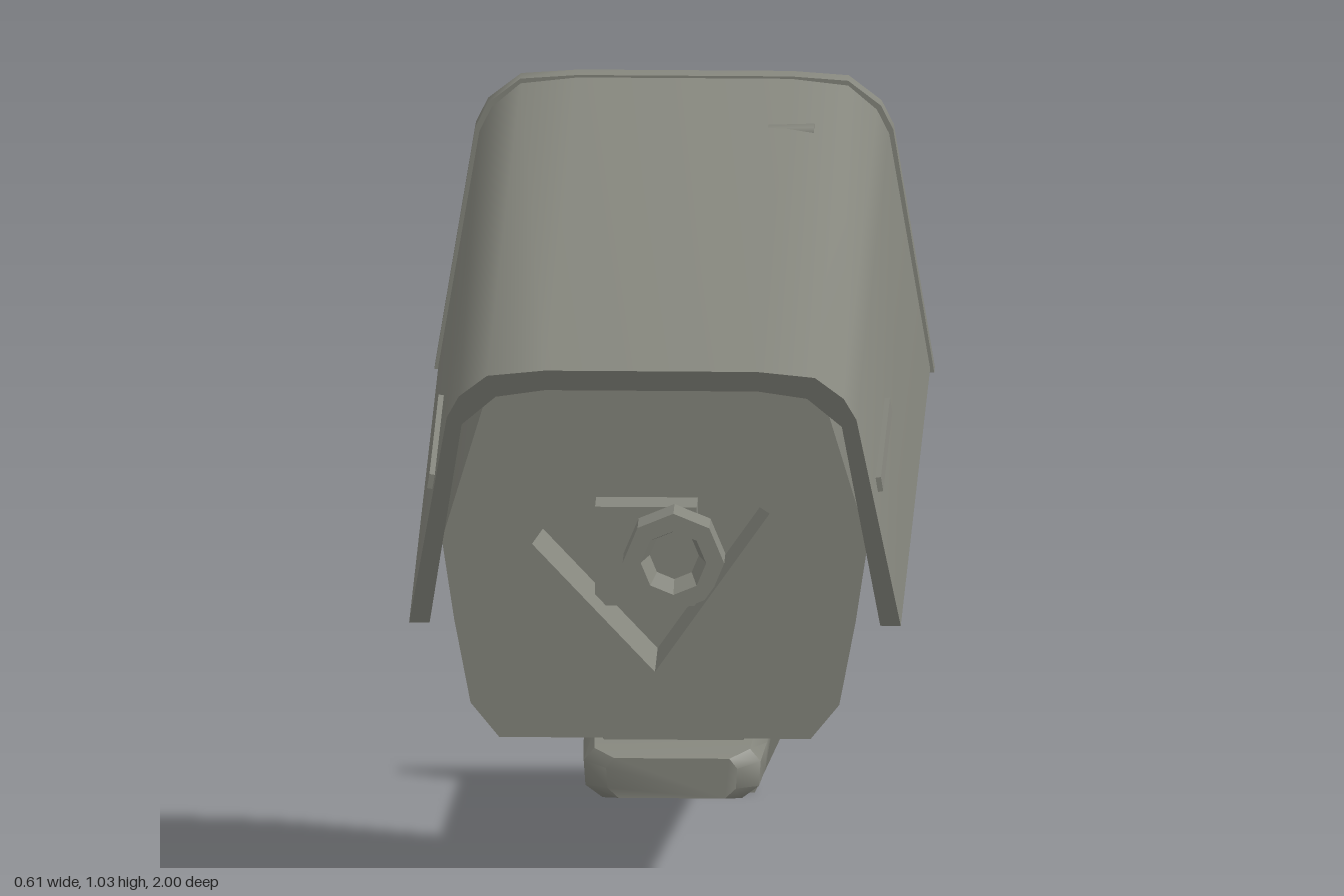
import * as THREE from 'three';
import { toCreasedNormals } from 'three/addons/utils/BufferGeometryUtils.js';

// Mirrors a right-hand outline (bottom to top) into a closed counter-clockwise ring
const mirror = (half) => [...half, ...half.slice().reverse().map(([x, y]) => [-x, y])];

// Joins rings [{ z, pts }] listed from front to back, with optional end caps
function loft(rings, capFront = true, capBack = true, crease = 0.75) {
  const pos = [], index = [], n = rings[0].pts.length;
  rings.forEach(({ z, pts }) => pts.forEach(([x, y]) => pos.push(x, y, z)));
  for (let r = 0; r < rings.length - 1; r++) {
    for (let i = 0; i < n; i++) {
      const j = (i + 1) % n, a = r * n, b = a + n;
      index.push(a + i, b + i, a + j, a + j, b + i, b + j);
    }
  }
  const last = (rings.length - 1) * n;
  for (let i = 1; i < n - 1; i++) {
    if (capFront) index.push(0, i, i + 1);
    if (capBack) index.push(last, last + i + 1, last + i);
  }
  const g = new THREE.BufferGeometry();
  g.setAttribute('position', new THREE.Float32BufferAttribute(pos, 3));
  g.setIndex(index);
  return toCreasedNormals(g, crease);
}

const shapeOf = (pts) => new THREE.Shape(pts.map(([x, y]) => new THREE.Vector2(x, y)));
const extrude = (shape, depth) =>
  new THREE.ExtrudeGeometry(shape, { depth, bevelEnabled: false });

export function createModel() {
  const model = new THREE.Group();
  model.name = 'securityCamera';
  const grey = new THREE.MeshStandardMaterial({ color: 0x86877e, side: THREE.DoubleSide });
  grey.name = 'warm grey';
  const add = (name, geometry, x = 0, y = 0, z = 0) => {
    const mesh = new THREE.Mesh(geometry, grey);
    mesh.name = name;
    mesh.position.set(x, y, z);
    model.add(mesh);
    return mesh;
  };

  // Sun hood: thin inverted-U shell with a raked front edge
  const outer = [[0.3, 0.665], [0.25, 0.96], [0.235, 0.99], [0.2, 1.02], [0.13, 1.028]];
  const inner = [[0.275, 0.665], [0.232, 0.95], [0.19, 0.99], [0.13, 1.0]];
  const flip = (pts) => pts.slice().reverse().map(([x, y]) => [-x, y]);
  const hood = extrude(shapeOf([...outer, ...flip(outer), ...flip(inner).reverse(),
    ...inner.slice().reverse()]), 1.5);
  const hp = hood.attributes.position;
  for (let i = 0; i < hp.count; i++) {
    const front = hp.getZ(i) > 1;
    hp.setZ(i, front ? 0.82 + (hp.getY(i) - 0.665) * 0.496 : -0.49);
  }
  add('hood', toCreasedNormals(hood, 0.75));

  // Rear cap closing the hood
  const capRing = mirror([[0.305, 0.66], [0.255, 0.965], [0.24, 0.995], [0.2, 1.026], [0.13, 1.031]]);
  add('rearCap', loft([{ z: -0.475, pts: capRing }, { z: -0.503, pts: capRing }]));

  // Housing, with a ramped underside at the rear
  const bodyHalf = [[0.19, 0.522], [0.225, 0.565], [0.245, 0.67], [0.26, 0.77], [0.2, 0.97]];
  const bodyRing = mirror(bodyHalf);
  const rearRing = (a, b, w) =>
    mirror([[w, a], [w + 0.03, b], [0.25, 0.672], [0.26, 0.77], [0.2, 0.97]]);
  add('housing', loft([
    { z: 0.82, pts: bodyRing },
    { z: -0.21, pts: bodyRing },
    { z: -0.225, pts: rearRing(0.585, 0.61, 0.19) },
    { z: -0.47, pts: rearRing(0.645, 0.655, 0.15) },
  ], false));
  add('rearLip', new THREE.BoxGeometry(0.36, 0.07, 0.022), 0, 0.545, -0.221);

  // Front face with a diamond window recess
  const diamond = [[0.0, 0.605], [0.14, 0.805], [-0.04, 0.925], [-0.15, 0.765]];
  const face = shapeOf(bodyRing);
  face.holes.push(new THREE.Path(diamond.map(([x, y]) => new THREE.Vector2(x, y))));
  add('frontFace', new THREE.ShapeGeometry(face), 0, 0, 0.82);
  const recess = new THREE.Group();
  recess.name = 'windowRecess';
  const wallPos = [];
  diamond.forEach(([x, y], i) => {
    const [u, v] = diamond[(i + 1) % 4];
    wallPos.push(x, y, 0.82, u, v, 0.82, x, y, 0.7, u, v, 0.82, u, v, 0.7, x, y, 0.7);
  });
  const walls = new THREE.BufferGeometry();
  walls.setAttribute('position', new THREE.Float32BufferAttribute(wallPos, 3));
  walls.computeVertexNormals();
  add('windowWalls', walls);
  add('windowBack', new THREE.ShapeGeometry(shapeOf(diamond)), 0, 0, 0.7);

  // Lens block, barrel and glass
  add('lensBlock', new THREE.BoxGeometry(0.124, 0.124, 0.05), -0.013, 0.733, 0.726);
  const barrel = new THREE.LatheGeometry([[0.062, 0], [0.062, 0.05], [0.04, 0.05], [0.03, 0.01], [0, 0.01]]
    .map(([r, y]) => new THREE.Vector2(r, y)), 8).rotateX(Math.PI / 2);
  add('lensBarrel', toCreasedNormals(barrel, 0.6), 0.022, 0.737, 0.75);

  // Hood side ribs and the small top latch
  for (const s of [-1, 1]) {
    const rib = add('sideRib', new THREE.BoxGeometry(0.008, 0.018, 0.4), s * 0.273, 0.84, 0.61);
    rib.rotation.z = s * 0.165;
  }
  const latch = add('topLatch', new THREE.CylinderGeometry(0.012, 0.02, 0.14, 6), 0.095, 1.02, -0.235);
  latch.rotation.z = Math.PI / 2;
  latch.scale.set(0.55, 1, 1);

  // Cable glands under the rear
  const gland = [[0, -0.06], [0.022, -0.06], [0.042, -0.035], [0.044, -0.015], [0.028, -0.005],
    [0.028, 0.012], [0.046, 0.02], [0.04, 0.04], [0.024, 0.045], [0.024, 0.08]]
    .map(([r, y]) => new THREE.Vector2(r, y));
  for (const s of [-1, 1]) {
    const g = toCreasedNormals(new THREE.LatheGeometry(gland, 7), 0.6);
    add('cableGland', g, s * 0.115, 0.558, -0.32).rotation.x = 0.15;
  }

  // Pivot bracket: top plate, two waisted cheeks, foot and bolts
  add('bracketPlate', new THREE.BoxGeometry(0.18, 0.014, 0.31), 0, 0.514, -0.025);
  const cheek = shapeOf([[0.0, 0.312], [-0.015, 0.375], [-0.13, 0.5], [-0.13, 0.52],
    [0.18, 0.52], [0.18, 0.5], [0.06, 0.375], [0.08, 0.312]]);
  for (const s of [-1, 1]) {
    add('bracketCheek', extrude(cheek, 0.01).rotateY(Math.PI / 2), s * 0.081 - 0.005);
    add('bracketBolt', new THREE.CylinderGeometry(0.014, 0.014, 0.012, 6).rotateZ(Math.PI / 2),
      s * 0.09, 0.39, -0.03);
  }
  add('bracketFoot', new THREE.BoxGeometry(0.17, 0.014, 0.09), 0, 0.317, -0.04);

  // Tapered arm, open at the wall end
  const armRing = (z, w, yb, yt, wb) => {
    const h = yt - yb;
    return { z, pts: mirror([[wb, yb], [w * 0.98, yb + h * 0.25], [w, yt - h * 0.25], [w * 0.88, yt]]) };
  };
  const armEnd = armRing(-0.985, 0.105, 0.1, 0.258, 0.075);
  add('arm', loft([
    armRing(0.083, 0.08, 0.262, 0.312, 0.065),
    armRing(0.06, 0.108, 0.257, 0.319, 0.085),
    armRing(-0.07, 0.112, 0.243, 0.312, 0.085),
    armEnd,
  ], true, false));

  // Wall flange with an opening into the arm
  const flange = shapeOf(mirror([[0.072, 0.003], [0.148, 0.17], [0.146, 0.29], [0.105, 0.302]]));
  flange.holes.push(new THREE.Path(armEnd.pts.map(([x, y]) => new THREE.Vector2(x, y))));
  add('wallFlange', extrude(flange, 0.016), 0, 0, -1);

  return model;
}
